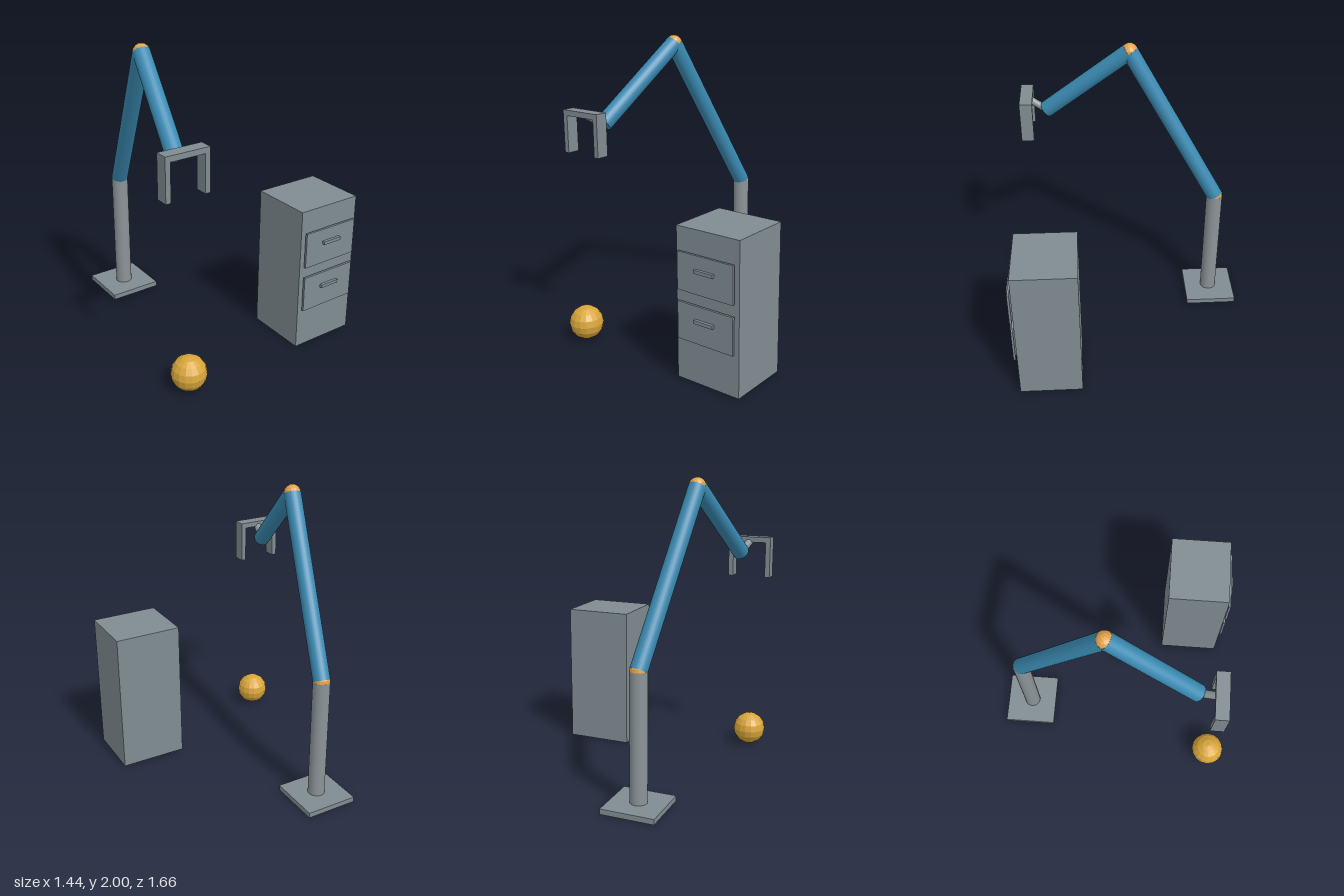
import * as THREE from 'three';

const mat = (name, color, flatShading = false) => {
  const m = new THREE.MeshStandardMaterial({ color, flatShading });
  m.name = name;
  return m;
};

export function createModel() {
  const root = new THREE.Group();
  root.name = 'robotArmScene';

  const grey = mat('greyMetal', 0x808c92);
  const steel = mat('postSteel', 0x8c9498);
  const blue = mat('armBlue', 0x3a8ab2);
  const orange = mat('jointOrange', 0xe3a248, true);
  const gold = mat('ballGold', 0xd8a53a, true);

  const add = (parent, name, geometry, material) => {
    const mesh = new THREE.Mesh(geometry, material);
    mesh.name = name;
    parent.add(mesh);
    return mesh;
  };
  // Box given by its extents on each axis
  const box = (parent, name, [x0, x1], [y0, y1], [z0, z1], material) =>
    add(parent, name, new THREE.BoxGeometry(x1 - x0, y1 - y0, z1 - z0), material)
      .position.set((x0 + x1) / 2, (y0 + y1) / 2, (z0 + z1) / 2);
  // Cylinder running between two points
  const rod = (parent, name, a, b, r, material) => {
    const dir = b.clone().sub(a);
    const mesh = add(parent, name, new THREE.CylinderGeometry(r, r, dir.length(), 24), material);
    mesh.position.copy(a).add(b).multiplyScalar(0.5);
    mesh.quaternion.setFromUnitVectors(new THREE.Vector3(0, 1, 0), dir.normalize());
  };
  const ball = (parent, name, p, r, material) =>
    add(parent, name, new THREE.SphereGeometry(r, 16, 8), material).position.copy(p);
  const group = (name) => {
    const g = new THREE.Group();
    g.name = name;
    root.add(g);
    return g;
  };

  // Robot arm: base, post and two jointed links
  const arm = group('robotArm');
  const R = 0.057;
  const foot = new THREE.Vector3(-0.27, 0.03, -0.647);
  const shoulder = new THREE.Vector3(-0.27, 0.88, -0.647);
  const elbow = new THREE.Vector3(-0.41, 1.943, -0.045);
  const wrist = new THREE.Vector3(-0.537, 1.463, 0.525);
  const palm = new THREE.Vector3(-0.57, 1.54, 0.66);
  box(arm, 'basePlate', [-0.45, -0.09], [0, 0.036], [-0.83, -0.468], grey);
  rod(arm, 'post', foot, shoulder, R, steel);
  ball(arm, 'shoulderJoint', shoulder, R, orange);
  rod(arm, 'upperArm', shoulder, elbow, R, blue);
  ball(arm, 'elbowJoint', elbow, R, orange);
  rod(arm, 'forearm', elbow, wrist, R, blue);
  rod(arm, 'wristRod', wrist, palm, 0.025, steel);

  // Gripper: crossbar with two fingers
  const gripper = group('gripper');
  const gz = [0.617, 0.703];
  box(gripper, 'crossbar', [-0.72, -0.42], [1.525, 1.562], gz, grey);
  box(gripper, 'rightFinger', [-0.72, -0.686], [1.28, 1.525], gz, grey);
  box(gripper, 'leftFinger', [-0.454, -0.42], [1.28, 1.525], gz, grey);

  // Cabinet with two drawer fronts and handles
  const cabinet = group('cabinet');
  box(cabinet, 'cabinetBody', [0.256, 0.717], [0, 0.99], [0.33, 0.75], grey);
  for (const y of [0.402, 0.72]) {
    box(cabinet, 'drawerFront', [0.281, 0.69], [y - 0.122, y + 0.122], [0.762, 0.777], grey);
    box(cabinet, 'drawerHandle', [0.417, 0.556], [y + 0.016, y + 0.038], [0.777, 0.796], grey);
  }

  // Ball on the floor
  ball(root, 'ball', new THREE.Vector3(-0.582, 0.117, 0.715), 0.115, gold);

  return root;
}
